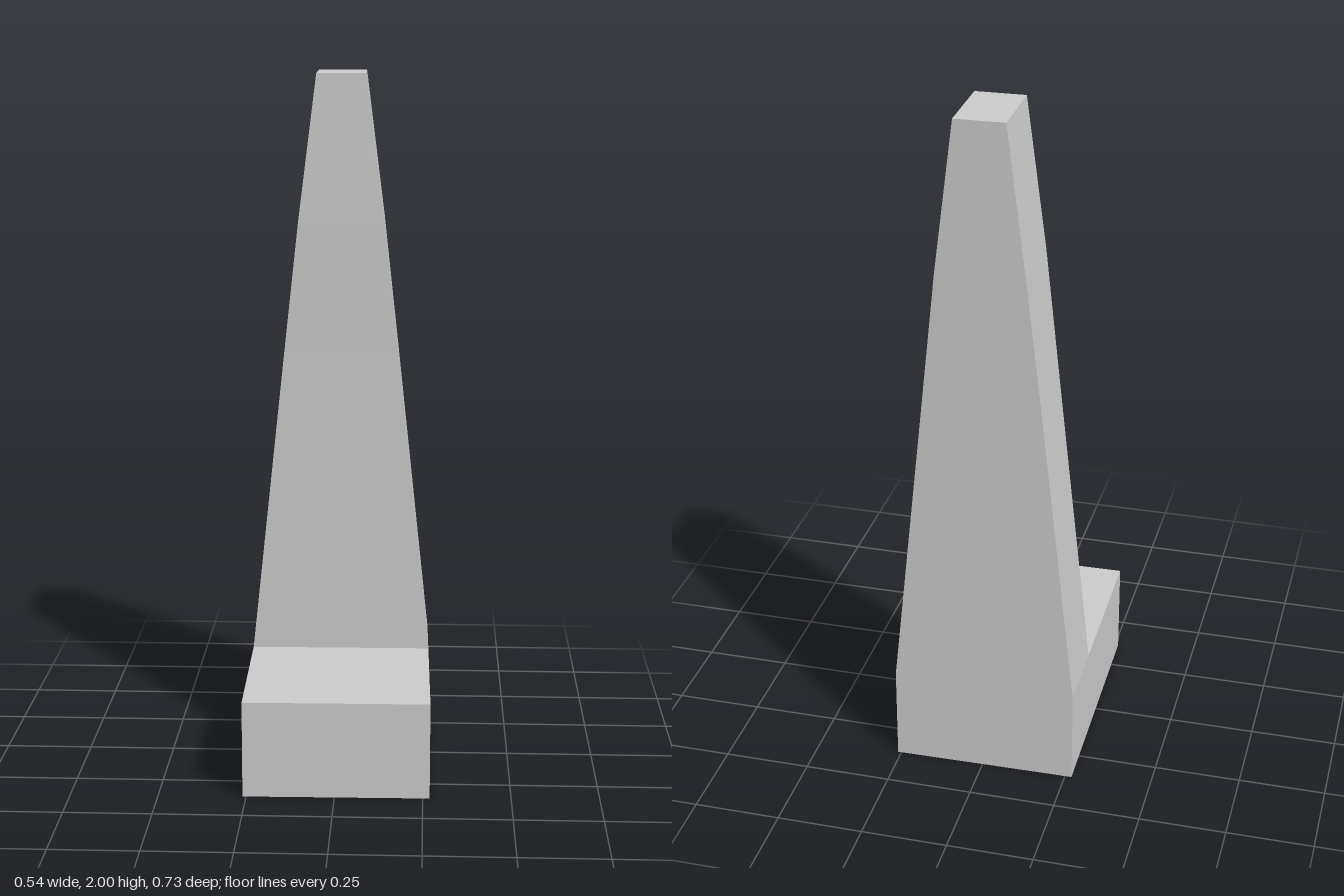
import * as THREE from 'three';

// Four corners of a rectangular section, counter-clockwise seen from above
const ring = (y, w, front, back) => [[-w, y, front], [w, y, front], [w, y, back], [-w, y, back]];

// Walls joining successive rings
function walls(rings) {
  const quads = [];
  for (let i = 0; i < rings.length - 1; i++) {
    for (let k = 0; k < 4; k++) {
      const n = (k + 1) % 4;
      quads.push([rings[i][k], rings[i][n], rings[i + 1][n], rings[i + 1][k]]);
    }
  }
  return quads;
}

function shell(name, quads) {
  const pts = quads.flatMap(([a, b, c, d]) => [a, b, c, a, c, d]).flat();
  const geometry = new THREE.BufferGeometry();
  geometry.setAttribute('position', new THREE.Float32BufferAttribute(pts, 3));
  geometry.computeVertexNormals();
  const material = new THREE.MeshStandardMaterial({ color: 0xcccccc, flatShading: true, side: THREE.DoubleSide });
  const mesh = new THREE.Mesh(geometry, material);
  mesh.name = name;
  return mesh;
}

export function createModel() {
  const group = new THREE.Group();
  group.name = 'taperedSeatBlock';
  const W = 0.265, H = 0.28, FRONT = 0.3615, BACK = -0.36, STEP = -0.1335;

  // Hollow base: four walls open underneath, with a flat seat in front of the tower
  const base = walls([ring(0, W, FRONT, BACK), ring(H, W, FRONT, BACK)]);
  base.push(ring(H, W, FRONT, STEP));
  group.add(shell('base', base));

  // Hollow tapering tower with a slight swelling below its top
  const levels = [
    ring(H, W, STEP, BACK),
    ring(1.18, 0.168, STEP, BACK),
    ring(1.57, 0.125, STEP + 0.006, BACK - 0.005),
    ring(2, 0.071, STEP, BACK - 0.001),
  ];
  group.add(shell('tower', [...walls(levels), levels[3]]));

  // Whole piece stands very slightly turned
  group.rotation.y = 0.0132;
  return group;
}
